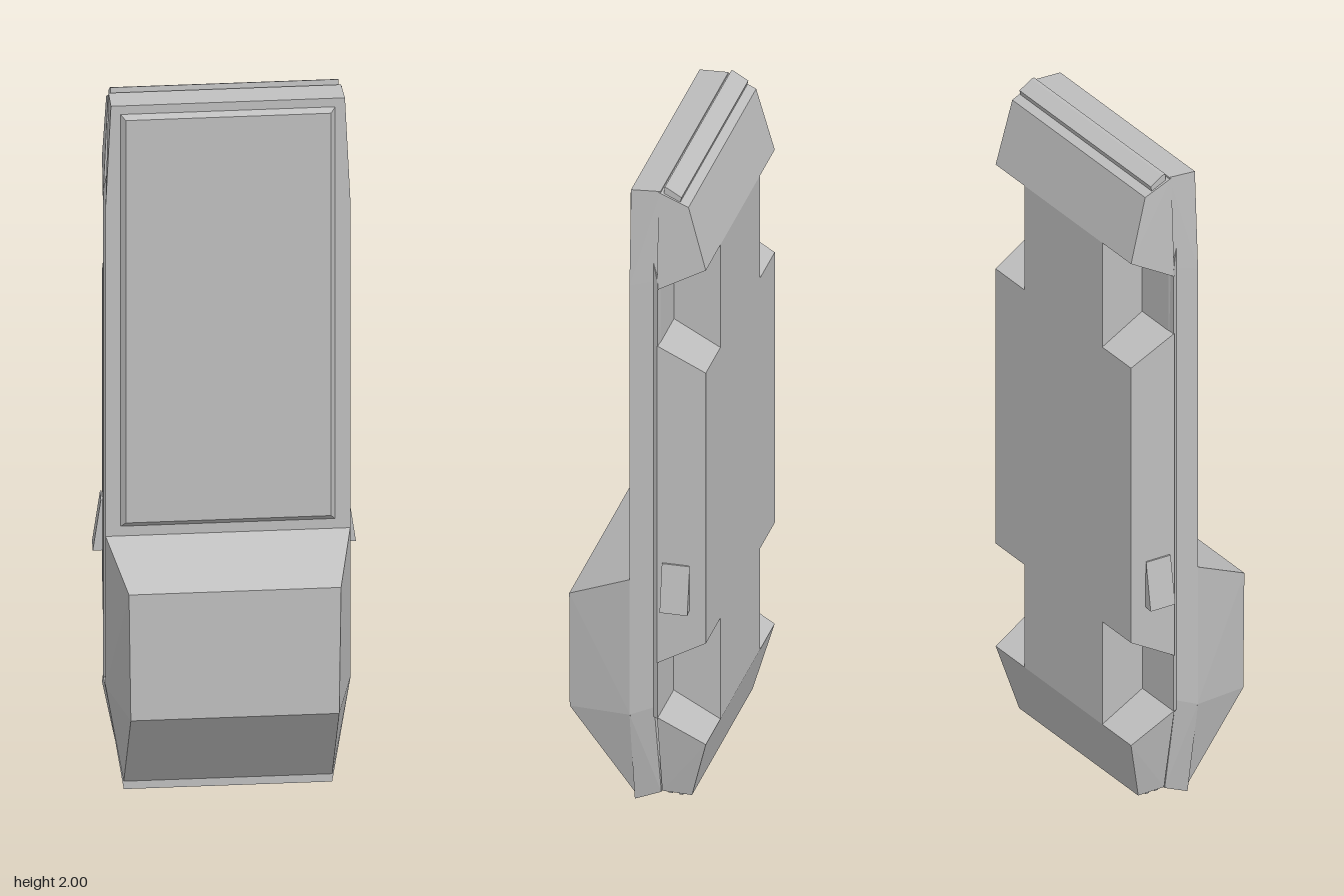
import * as THREE from 'three';
import { ConvexGeometry } from 'three/addons/geometries/ConvexGeometry.js';

export function createModel() {
  const model = new THREE.Group();
  model.name = 'uprightPickup';
  const grey = new THREE.MeshStandardMaterial({ color: 0xbebebe });
  grey.name = 'body grey';

  // Faceted solid around the given [x, y, z] corners
  const solid = (name, corners) => {
    const mesh = new THREE.Mesh(new ConvexGeometry(corners.map(c => new THREE.Vector3(...c))), grey);
    mesh.name = name;
    model.add(mesh);
    return mesh;
  };
  // Solid mirrored across x = 0
  const mirrored = (name, corners) => solid(name, corners.flatMap(([x, y, z]) => [[x, y, z], [-x, y, z]]));

  // Upper body, narrowing to nose and tail, tucked in at the waist groove
  mirrored('upperBody', [
    [0.32, 1.98, 0.015], [0.335, 1.68, 0.015], [0.335, 0.3, 0.015], [0.285, 0, 0.015],
    [0.318, 1.988, -0.068], [0.325, 1.7, -0.052], [0.325, 0.33, -0.052], [0.284, 0.035, -0.06],
  ]);

  // Cab
  mirrored('cab', [
    [0.335, 0.735, 0.013], [0.335, 0.3, 0.013], [0.285, 0.02, 0.013],
    [0.29, 0.63, 0.2], [0.285, 0.265, 0.2],
  ]);

  // Bevelled bed cover
  mirrored('bedCover', [
    [0.295, 0.76, 0.013], [0.295, 1.957, 0.013],
    [0.281, 0.776, 0.029], [0.281, 1.942, 0.029],
  ]);

  // Sill flaring out below the waist groove; it also closes the wheel wells
  mirrored('sill', [
    [0.325, 1.76, -0.05], [0.325, 0.3, -0.05],
    [0.334, 1.7, -0.065], [0.334, 0.3, -0.065],
  ]);

  // Chassis between the wheel wells
  mirrored('chassis', [
    [0.185, 1.8, -0.06], [0.185, 0.2, -0.06],
    [0.185, 1.76, -0.198], [0.185, 0.235, -0.198],
  ]);

  // Lower body in front of, between and behind the wheel wells
  mirrored('noseSection', [
    [0.334, 0.305, -0.063], [0.285, 0.04, -0.063],
    [0.322, 0.235, -0.198], [0.283, 0.04, -0.147],
  ]);
  mirrored('middleSection', [
    [0.334, 1.5, -0.063], [0.334, 0.48, -0.063],
    [0.322, 1.43, -0.198], [0.322, 0.56, -0.198],
  ]);
  mirrored('tailSection', [
    [0.334, 1.68, -0.063], [0.32, 1.985, -0.063],
    [0.322, 1.76, -0.198], [0.316, 1.95, -0.147], [0.317, 1.978, -0.08],
  ]);

  // Raised lip across the tail
  mirrored('tailLip', [
    [0.312, 1.97, -0.075], [0.312, 2, -0.078], [0.312, 1.998, -0.086],
    [0.312, 1.975, -0.126], [0.312, 1.95, -0.12],
  ]);

  // Grille panel and bumper ribs under the nose
  mirrored('grille', [
    [0.22, 0.004, -0.002], [0.22, 0.022, -0.05],
    [0.22, 0.012, -0.002], [0.22, 0.032, -0.05],
  ]);
  for (const z of [-0.085, -0.115]) {
    const rib = new THREE.Mesh(new THREE.BoxGeometry(0.56, 0.008, 0.012), grey);
    rib.name = 'bumperRib';
    rib.position.set(0, 0.038, z);
    model.add(rib);
  }

  // Wedge-shaped scoops on the flanks
  for (const side of [1, -1]) {
    solid(side > 0 ? 'leftScoop' : 'rightScoop', [
      [0.333, 0.805, -0.078], [0.328, 0.805, -0.152],
      [0.325, 0.66, -0.078], [0.32, 0.66, -0.152],
      [0.36, 0.66, -0.078], [0.354, 0.66, -0.155],
      [0.338, 0.805, -0.078], [0.332, 0.805, -0.155],
    ].map(([x, y, z]) => [x * side, y, z]));
  }

  return model;
}
